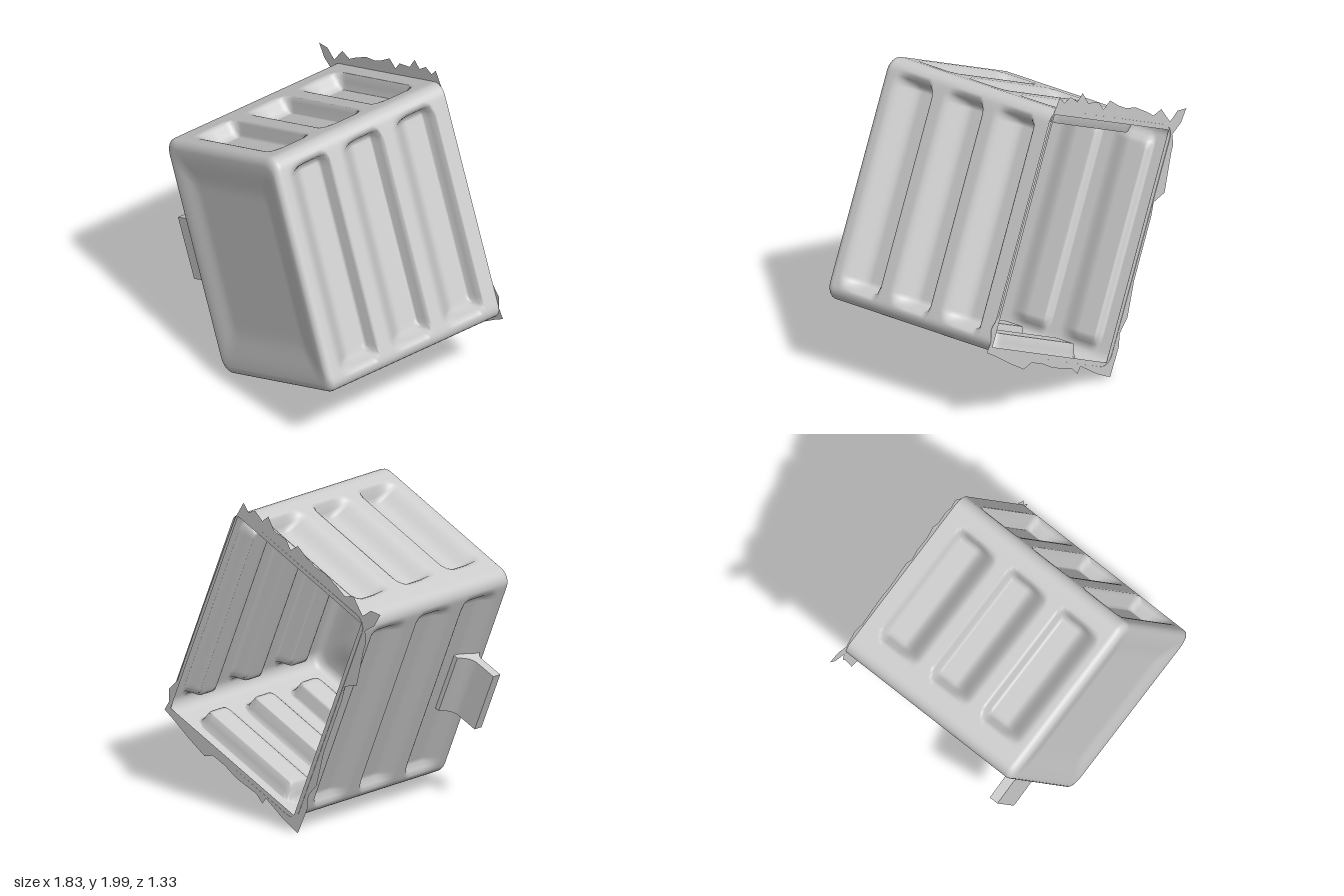
import * as THREE from 'three';

const W = 0.597, H = 0.76, D = 0.65, R = 0.08; // half sizes and corner radius
const TILT = 0.4014, CX = 0.05, CY = 1.01;
const material = new THREE.MeshStandardMaterial({ color: 0xcccccc, side: THREE.DoubleSide });
const step = THREE.MathUtils.smoothstep;

// Three slots per wall: steep towards the back, sloped towards the front, rounded ends
function slotDepth(z, s, halfLength) {
  let d = 0;
  for (const back of [-0.545, -0.145, 0.255]) {
    const toEdge = Math.min(z - back, back + 0.32 - z);
    if (toEdge <= 0) continue;
    const k = Math.max(0, 1 - toEdge / 0.06);
    const end = halfLength - 0.06 * (1 - Math.sqrt(1 - k * k));
    d += step(z, back, back + 0.02) * (1 - step(z, back + 0.15, back + 0.32))
      * (1 - step(Math.abs(s), end - 0.05, end));
  }
  return d;
}

// Rounded rectangle, counter-clockwise, each point with its wall normal and slot data
function outline() {
  const pts = [];
  const walls = [
    { n: [1, 0], half: H, off: W, slot: 0.67, shift: 0, depth: 0.1 },
    { n: [0, 1], half: W, off: H, slot: 0.42, shift: -0.02, depth: 0.1 },
    { n: [-1, 0], half: H, off: W, slot: 0.67, shift: 0, depth: 0.04 },
    { n: [0, -1], half: W, off: H, slot: 0.43, shift: 0, depth: 0.1 },
  ];
  for (const { n, half, off, slot, shift, depth } of walls) {
    const t = [-n[1], n[0]], flat = half - R;
    for (let i = 0; i <= 48; i++) {
      const s = flat * (i / 24 - 1);
      pts.push({ x: n[0] * off + t[0] * s, y: n[1] * off + t[1] * s, n, s: s - shift, slot, depth });
    }
    for (let i = 1; i < 6; i++) {
      const a = (i / 6) * Math.PI / 2, o = off - R + R * Math.cos(a), s = flat + R * Math.sin(a);
      pts.push({ x: n[0] * o + t[0] * s, y: n[1] * o + t[1] * s, n, s, slot, depth: 0 });
    }
  }
  return pts;
}

// Rows run from the open back, round the front edge, to the middle of the front
function rows() {
  const list = [], edge = 0.045;
  for (let i = 0; i <= 120; i++) list.push({ z: -D + (2 * D - edge) * i / 120, inset: 0 });
  for (let i = 1; i <= 6; i++) {
    const a = (i / 6) * Math.PI / 2;
    list.push({ z: D - edge + edge * Math.sin(a), inset: edge * (1 - Math.cos(a)) });
  }
  for (let i = 1; i <= 24; i++) {
    const inset = edge + (W - edge) * i / 24;
    list.push({ z: D - 0.025 * step(inset, 0.05, 0.24), inset });
  }
  return list;
}

function shellGeometry() {
  const loop = outline(), n = loop.length, list = rows();
  const pos = [], index = [];
  list.forEach(({ z, inset }, r) => {
    const f = 1 - inset / W;
    loop.forEach((p, i) => {
      const d = p.depth && inset === 0 ? p.depth * slotDepth(z, p.s, p.slot) : 0;
      const x = (p.x - p.n[0] * d) * f, y = (p.y - p.n[1] * d) * f;
      pos.push(x, y, z + 0.02 * x - 0.008 * y);
      if (r === 0) return;
      const j = (i + 1) % n, a = (r - 1) * n + i, b = (r - 1) * n + j;
      index.push(a, b, r * n + j, a, r * n + j, r * n + i);
    });
  });
  const g = new THREE.BufferGeometry();
  g.setAttribute('position', new THREE.Float32BufferAttribute(pos, 3));
  g.setIndex(index);
  g.computeVertexNormals();
  return g;
}

// Thin tab whose root flares into the wall
function tabGeometry() {
  const s = new THREE.Shape();
  s.moveTo(W - 0.04, -0.12);
  s.lineTo(W - 0.01, -0.12);
  s.quadraticCurveTo(W + 0.02, -0.03, W + 0.08, -0.03);
  s.lineTo(0.82, -0.03);
  s.lineTo(0.82, 0.03);
  s.lineTo(W + 0.06, 0.03);
  s.quadraticCurveTo(W + 0.02, 0.03, W - 0.01, 0.08);
  s.lineTo(W - 0.04, 0.08);
  const g = new THREE.ExtrudeGeometry(s, { depth: 0.4, bevelEnabled: false, curveSegments: 8 });
  return g.translate(0, 0, -0.2);
}

// Thin ragged sheet round the open back
function rimGeometry() {
  const outer = [
    [0.24, 2], [0.2, 1.95], [0.14, 1.97], [0.08, 1.92], [0.03, 1.96], [-0.02, 1.88], [-0.12, 1.85],
    [-0.16, 1.79], [-0.22, 1.83], [-0.3, 1.77], [-0.37, 1.73], [-0.45, 1.71], [-0.55, 1.65], [-0.62, 1.6],
    [-0.69, 1.62], [-0.77, 1.51], [-0.84, 1.56], [-0.92, 1.55], [-0.87, 1.47], [-0.79, 1.42], [-0.8, 1.35],
    [-0.78, 1.3], [-0.72, 1.06], [-0.62, 1.03], [-0.6, 0.95], [-0.52, 0.76], [-0.44, 0.57], [-0.38, 0.35],
    [-0.31, 0.27], [-0.3, 0.18], [-0.22, 0.01], [-0.1, 0.07], [0.05, 0.17], [0.08, 0.13], [0.13, 0.18],
    [0.3, 0.24], [0.4, 0.3], [0.5, 0.34], [0.57, 0.32], [0.7, 0.4], [0.83, 0.49], [0.91, 0.54],
    [0.87, 0.6], [0.87, 0.68], [0.8, 0.75], [0.75, 0.87], [0.64, 1.13], [0.56, 1.32], [0.48, 1.5],
    [0.4, 1.69], [0.31, 1.89],
  ].map(([x, y]) => new THREE.Vector2(x, y));
  const shape = new THREE.Shape(outer);
  const centre = new THREE.Vector2(CX, CY);
  const hole = [[-1, -1], [-1, 1], [1, 1], [1, -1]].map(([a, b]) =>
    new THREE.Vector2(CX + a * (W - 0.03), CY + b * (H - 0.03)).rotateAround(centre, TILT));
  shape.holes.push(new THREE.Path(hole));
  const g = new THREE.ShapeGeometry(shape);
  const p = g.attributes.position;
  for (let i = 0; i < p.count; i++) p.setZ(i, -D + 0.018 * p.getX(i));
  g.computeVertexNormals();
  return g;
}

export function createModel() {
  const model = new THREE.Group();
  model.name = 'openRibbedBox';
  const body = new THREE.Group();
  body.name = 'tiltedBody';
  body.position.set(CX, CY, 0);
  body.rotation.z = TILT;
  model.add(body);

  const add = (parent, geometry, name) => {
    const mesh = new THREE.Mesh(geometry, material);
    mesh.name = name;
    parent.add(mesh);
    return mesh;
  };
  add(body, shellGeometry(), 'ribbedShell');
  const tab = add(body, tabGeometry(), 'sideTab');
  tab.position.set(0, -0.01, 0.5);
  tab.rotation.set(Math.PI / 2, Math.PI, 0);
  add(model, rimGeometry(), 'raggedRim');
  return model;
}
